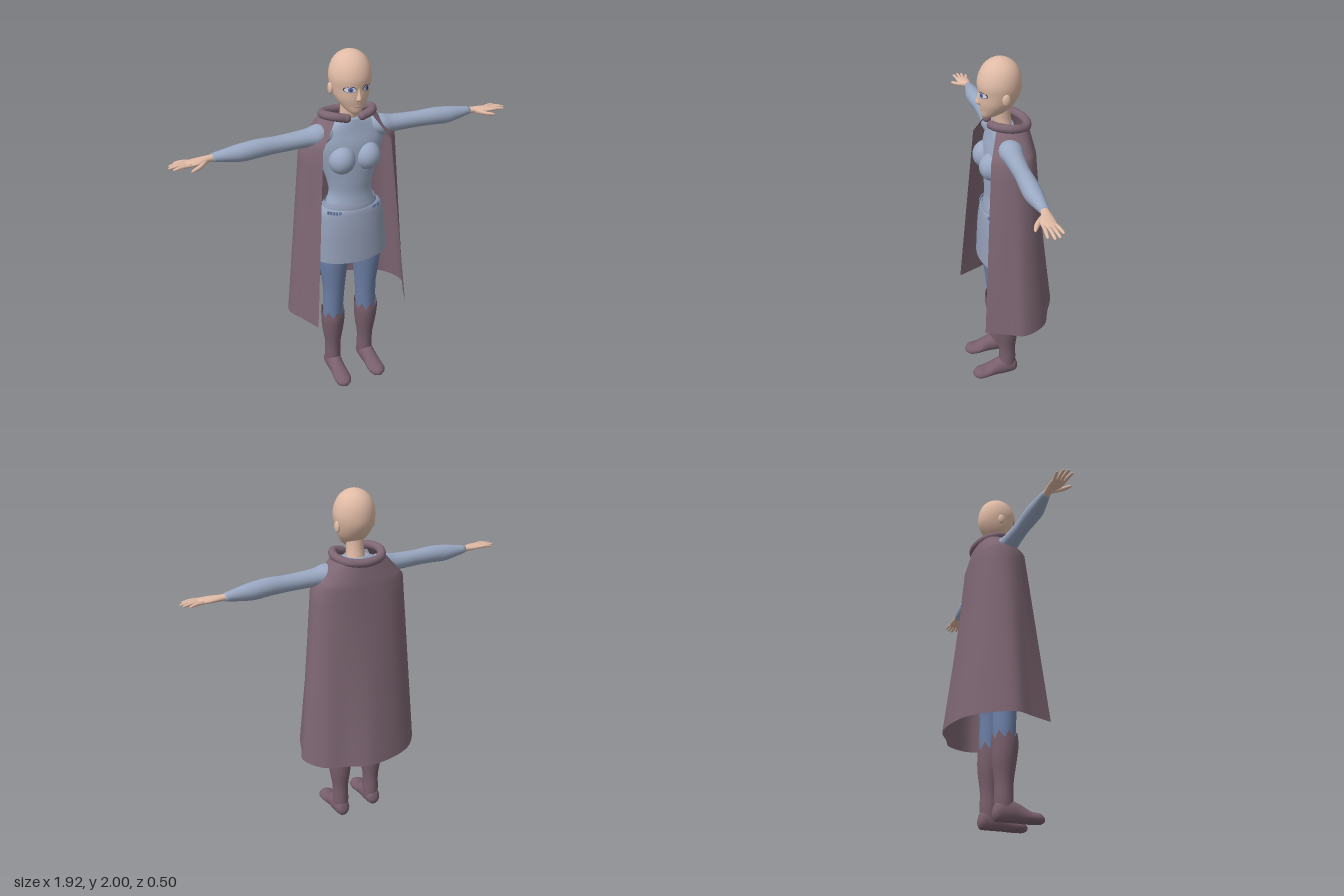
import * as THREE from 'three';

const mat = (name, color, side = THREE.FrontSide) => {
  const m = new THREE.MeshStandardMaterial({ color, side });
  m.name = name;
  return m;
};

// Triangulated grid of rows; rows run upward or outward along the part
function gridGeometry(rows, closed) {
  const n = rows[0].length, pos = rows.flat(2), idx = [];
  for (let r = 0; r < rows.length - 1; r++)
    for (let i = 0; i < (closed ? n : n - 1); i++) {
      const a = r * n + i, b = r * n + (i + 1) % n;
      idx.push(a, a + n, b, b, a + n, b + n);
    }
  return [pos, idx, n];
}

function finish(pos, idx) {
  const g = new THREE.BufferGeometry();
  g.setAttribute('position', new THREE.Float32BufferAttribute(pos, 3));
  g.setIndex(idx);
  g.computeVertexNormals();
  return g;
}

// Smooth loft through sections [x, y, z, radiusU, radiusW], ordered upward along its axis
// Axis y: U = x, W = z.  Axis x: U = z, W = y.  Axis z: U = y, W = x.
function loft(axis, sections, { cap = true, seg = 28, warp } = {}) {
  const [u, w] = { y: [0, 2], x: [2, 1], z: [1, 0] }[axis];
  const centre = new THREE.CatmullRomCurve3(sections.map(s => new THREE.Vector3(s[0], s[1], s[2])), false, 'catmullrom', 0.5);
  const radius = new THREE.CatmullRomCurve3(sections.map(s => new THREE.Vector3(s[3], s[4], 0)), false, 'catmullrom', 0.5);
  const steps = (sections.length - 1) * 4, rows = [];
  for (let k = 0; k <= steps; k++) {
    const c = centre.getPoint(k / steps), r = radius.getPoint(k / steps), row = [];
    for (let i = 0; i < seg; i++) {
      const a = i / seg * Math.PI * 2, p = c.toArray();
      p[u] += r.x * Math.cos(a);
      p[w] += r.y * Math.sin(a);
      if (warp) warp(p, i, k === steps);
      row.push(p);
    }
    rows.push(row);
  }
  const [pos, idx, n] = gridGeometry(rows, true);
  if (cap) {
    const last = steps * n, c0 = pos.length / 3;
    pos.push(...sections[0].slice(0, 3), ...sections[sections.length - 1].slice(0, 3));
    for (let i = 0; i < n; i++) {
      const j = (i + 1) % n;
      idx.push(c0, i, j, c0 + 1, last + j, last + i);
    }
  }
  return finish(pos, idx);
}

function mirrored(geo) {
  const p = Array.from(geo.attributes.position.array, (v, i) => i % 3 ? v : -v);
  return finish(p, Array.from(geo.index.array).reverse());
}

export function createModel() {
  const model = new THREE.Group();
  model.name = 'cloakedFigure';
  const skin = mat('skin', 0xe0bba6), shirt = mat('shirtBlue', 0x9aa8c2);
  const skirtMat = mat('skirtBlue', 0x939eb6, THREE.DoubleSide), legMat = mat('leggingBlue', 0x6c7fa6);
  const capeMat = mat('capePlum', 0x7d6672, THREE.DoubleSide), bootMat = mat('bootPlum', 0x785f6b, THREE.DoubleSide);
  const white = mat('eyeWhite', 0xd5d9e2), iris = mat('irisBlue', 0x5a72a8);
  const dark = mat('eyeLine', 0x45424f), lip = mat('lip', 0xc39a89);

  const add = (name, geo, material) => {
    const m = new THREE.Mesh(geo, material);
    m.name = name;
    model.add(m);
    return m;
  };
  const pair = (name, geo, material) => {
    add('left' + name, geo, material);
    add('right' + name, mirrored(geo), material);
  };
  const ball = (x, y, z, rx, ry, rz) => new THREE.SphereGeometry(1, 24, 16).scale(rx, ry, rz).translate(x, y, z);

  // Head and neck
  add('head', loft('y', [
    [0, 1.685, 0.112, 0.018, 0.018], [0, 1.703, 0.092, 0.042, 0.047], [0, 1.73, 0.07, 0.066, 0.073],
    [0, 1.77, 0.055, 0.089, 0.095], [0, 1.82, 0.043, 0.103, 0.109], [0, 1.87, 0.043, 0.11, 0.114],
    [0, 1.92, 0.041, 0.101, 0.104], [0, 1.96, 0.04, 0.079, 0.081], [0, 1.987, 0.04, 0.045, 0.046], [0, 2, 0.04, 0.003, 0.003],
  ], { seg: 40 }), skin);
  add('neck', loft('y', [[0, 1.6, 0.02, 0.06, 0.05], [0, 1.65, 0.028, 0.05, 0.048], [0, 1.7, 0.035, 0.047, 0.048], [0, 1.76, 0.04, 0.05, 0.05]]), skin);
  add('nose', loft('y', [[0, 1.76, 0.143, 0.01, 0.008], [0, 1.772, 0.15, 0.014, 0.018], [0, 1.8, 0.148, 0.008, 0.012], [0, 1.835, 0.143, 0.006, 0.009]]), skin);
  add('mouth', ball(0, 1.732, 0.139, 0.02, 0.005, 0.007), lip);
  pair('Ear', ball(0.106, 1.81, 0.035, 0.012, 0.031, 0.021), skin);

  // Eyes: thin plates that follow the curve of the face
  const plate = (x, y, rx, ry, lift) => {
    const g = new THREE.CircleGeometry(1, 24).scale(rx, ry, 1).translate(x, y, 0), p = g.attributes.position;
    for (let i = 0; i < p.count; i++)
      p.setZ(i, 0.043 + 0.11 * Math.sqrt(1 - (p.getX(i) / 0.104) ** 2) + lift);
    g.computeVertexNormals();
    return g;
  };
  pair('EyeLine', plate(0.046, 1.826, 0.029, 0.017, 0.002), dark);
  pair('Eye', plate(0.046, 1.825, 0.026, 0.014, 0.004), white);
  pair('Iris', plate(0.045, 1.825, 0.012, 0.013, 0.006), iris);
  pair('Pupil', plate(0.045, 1.825, 0.005, 0.006, 0.0075), dark);

  // Shirt
  add('shirt', loft('y', [
    [0, 1.12, 0.04, 0.15, 0.1], [0, 1.17, 0.042, 0.137, 0.093], [0, 1.23, 0.045, 0.122, 0.082], [0, 1.3, 0.045, 0.133, 0.084],
    [0, 1.4, 0.04, 0.165, 0.09], [0, 1.5, 0.035, 0.195, 0.09], [0, 1.57, 0.03, 0.188, 0.076],
    [0, 1.62, 0.03, 0.125, 0.064], [0, 1.645, 0.03, 0.068, 0.057],
  ], { seg: 40 }), shirt);
  pair('Bust', ball(0.073, 1.435, 0.1, 0.073, 0.078, 0.074), shirt);
  pair('Sleeve', loft('x', [
    [0.1, 1.565, 0.035, 0.05, 0.055], [0.18, 1.567, 0.035, 0.063, 0.058], [0.25, 1.563, 0.036, 0.052, 0.047],
    [0.4, 1.56, 0.04, 0.042, 0.044], [0.5, 1.56, 0.043, 0.045, 0.047], [0.59, 1.554, 0.043, 0.045, 0.046],
    [0.67, 1.553, 0.04, 0.034, 0.034], [0.74, 1.553, 0.037, 0.022, 0.021],
  ]), shirt);

  // Hands
  pair('Palm', loft('x', [
    [0.71, 1.553, 0.037, 0.02, 0.018], [0.76, 1.553, 0.04, 0.022, 0.016], [0.81, 1.552, 0.05, 0.035, 0.015],
    [0.86, 1.551, 0.054, 0.036, 0.012], [0.875, 1.55, 0.054, 0.028, 0.007],
  ]), skin);
  [[0.027, 0.928, 0.013], [0.045, 0.953, 0.037], [0.062, 0.96, 0.061], [0.08, 0.943, 0.088]].forEach(([z, tip, tz], i) =>
    pair('Finger' + (i + 1), loft('x', [
      [0.85, 1.551, z, 0.009, 0.009], [(0.85 + tip) / 2, 1.553, (z + tz) / 2, 0.009, 0.009],
      [tip - 0.008, 1.549, tz, 0.007, 0.006], [tip, 1.548, tz, 0.001, 0.001],
    ], { seg: 10 }), skin));
  pair('Thumb', loft('x', [
    [0.765, 1.55, 0.05, 0.012, 0.012], [0.81, 1.543, 0.09, 0.015, 0.011], [0.85, 1.538, 0.113, 0.009, 0.008], [0.866, 1.536, 0.119, 0.001, 0.001],
  ], { seg: 12 }), skin);

  // Skirt with waistband and fringe
  add('skirt', loft('y', [
    [0.004, 0.83, 0.042, 0.22, 0.137], [0.003, 0.92, 0.042, 0.212, 0.132], [0, 1.02, 0.041, 0.204, 0.126],
    [0, 1.1, 0.04, 0.194, 0.117], [0, 1.135, 0.04, 0.178, 0.11], [0, 1.15, 0.04, 0.147, 0.101],
  ], { cap: false, seg: 40 }), skirtMat);
  add('waistband', loft('y', [[0, 1.135, 0.04, 0.158, 0.107], [0, 1.155, 0.04, 0.154, 0.105], [0, 1.175, 0.04, 0.148, 0.1]], { cap: false, seg: 40 }), skirtMat);
  for (let i = 0; i < 5; i++) {
    const a = 0.55 + i * 0.11;
    pair('Fringe' + (i + 1), new THREE.BoxGeometry(0.011, 0.018, 0.008).rotateY(Math.PI / 2 - a)
      .translate(0.181 * Math.cos(a), 1.134, 0.04 + 0.113 * Math.sin(a)), legMat);
  }

  // Legs and boots
  pair('Legging', loft('y', [
    [0.107, 0.36, 0.04, 0.056, 0.058], [0.106, 0.48, 0.04, 0.06, 0.062], [0.102, 0.6, 0.045, 0.062, 0.067],
    [0.103, 0.7, 0.045, 0.073, 0.079], [0.102, 0.83, 0.045, 0.086, 0.09], [0.09, 1.02, 0.04, 0.088, 0.09],
  ]), legMat);
  pair('BootShaft', loft('y', [
    [0.108, 0.03, 0.033, 0.043, 0.045], [0.108, 0.1, 0.033, 0.047, 0.05], [0.108, 0.2, 0.035, 0.047, 0.051],
    [0.108, 0.31, 0.037, 0.063, 0.066], [0.108, 0.39, 0.042, 0.069, 0.072], [0.108, 0.43, 0.042, 0.069, 0.071],
  ], { cap: false, seg: 32, warp: (p, i, top) => { if (top) p[1] += [0.03, 0.008, -0.014, 0.008][i % 4]; } }), bootMat);
  pair('BootFoot', loft('z', [
    [0.11, 0.035, -0.027, 0.015, 0.015], [0.11, 0.045, -0.008, 0.05, 0.04], [0.11, 0.05, 0.05, 0.062, 0.047],
    [0.111, 0.042, 0.11, 0.052, 0.045], [0.112, 0.026, 0.17, 0.034, 0.05], [0.114, 0.022, 0.22, 0.031, 0.044], [0.114, 0.02, 0.248, 0.013, 0.018],
  ], { warp: p => { p[1] = Math.max(p[1], 0); } }), bootMat);

  // Cape: outlines at neck, shoulder and hem, blended from hem to neck
  const outline = (y, pts) => new THREE.CatmullRomCurve3(pts.map(([x, z]) => new THREE.Vector3(x, y, z)));
  const symmetric = (y, half) => outline(y, [...half.map(([x, z]) => [-x, z]), ...half.slice(0, -1).reverse()]);
  const hem = outline(0.49, [[-0.28, 0.23], [-0.33, 0.11], [-0.37, 0.01], [-0.32, -0.1], [-0.2, -0.21], [0.05, -0.25],
    [0.2, -0.185], [0.31, -0.13], [0.37, 0], [0.33, 0.1], [0.285, 0.21]]);
  const shoulder = symmetric(1.52, [[0.195, 0.14], [0.245, 0.085], [0.268, 0.01], [0.245, -0.06], [0.15, -0.11], [0, -0.125]]);
  const neckline = symmetric(1.66, [[0.1, 0.085], [0.13, 0.05], [0.14, 0], [0.122, -0.05], [0.07, -0.085], [0, -0.095]]);
  const rows = [];
  const blend = (a, b, steps, from) => {
    for (let r = from; r <= steps; r++)
      rows.push(Array.from({ length: 81 }, (_, i) => a.getPoint(i / 80).lerp(b.getPoint(i / 80), r / steps).toArray()));
  };
  blend(hem, shoulder, 12, 0);
  blend(shoulder, neckline, 5, 1);
  const [pos, idx] = gridGeometry(rows, false);
  add('cape', finish(pos, idx), capeMat);

  // Rolled collar
  const half = [[0.045, 1.66, 0.1], [0.105, 1.672, 0.082], [0.136, 1.665, 0.01], [0.1, 1.648, -0.065]];
  const path = [...half, [0, 1.64, -0.098], ...half.slice().reverse().map(([x, y, z]) => [-x, y, z])];
  add('collar', new THREE.TubeGeometry(new THREE.CatmullRomCurve3(path.map(p => new THREE.Vector3(...p))), 64, 0.023, 14), capeMat);
  pair('CollarEnd', ball(0.045, 1.66, 0.1, 0.023, 0.023, 0.023), capeMat);
  return model;
}
